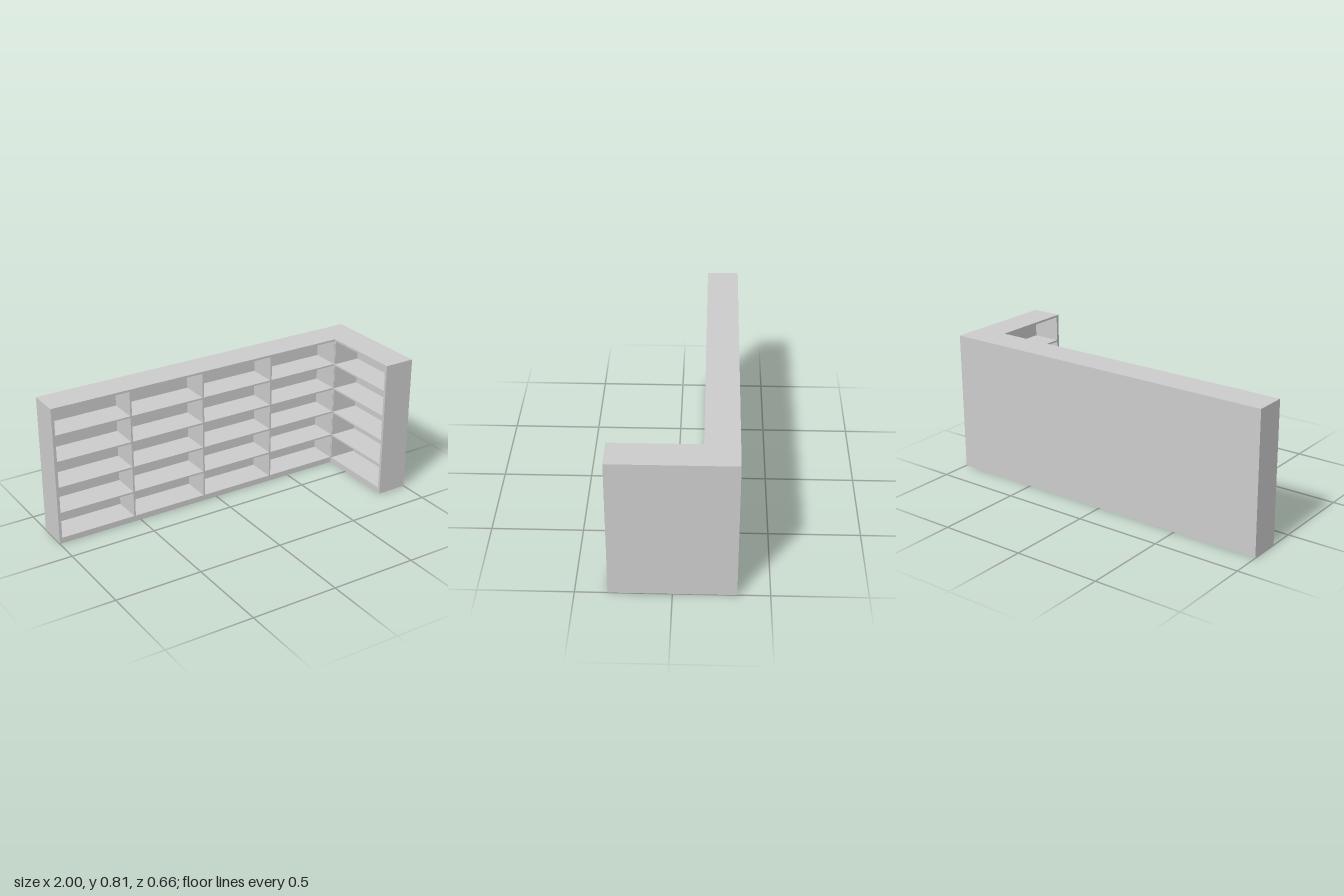
import * as THREE from 'three';

const HEIGHT = 0.805, DEPTH = 0.18, BACK = 0.014, BOARD = 0.01;
const ROWS = 5, BASE = 0.034, TOP = 0.793;

const material = new THREE.MeshStandardMaterial({ color: 0xcccccc, flatShading: true });

function rect(path, x0, y0, x1, y1) {
  path.moveTo(x0, y0);
  path.lineTo(x1, y0);
  path.lineTo(x1, y1);
  path.lineTo(x0, y1);
  path.closePath();
  return path;
}

// One shelving run from x0 to x1, with its back at z = 0 and its open side facing +z.
function shelving(name, x0, x1, openStart, openEnd, columns) {
  const run = new THREE.Group();
  run.name = name;

  // Frame, dividers, shelves and plinth: a slab pierced by a grid of openings
  const shape = rect(new THREE.Shape(), x0, 0, x1, HEIGHT);
  const w = (openEnd - openStart - BOARD * (columns - 1)) / columns;
  const h = (TOP - BASE - BOARD * (ROWS - 1)) / ROWS;
  for (let c = 0; c < columns; c++) {
    for (let r = 0; r < ROWS; r++) {
      const x = openStart + c * (w + BOARD), y = BASE + r * (h + BOARD);
      shape.holes.push(rect(new THREE.Path(), x, y, x + w, y + h));
    }
  }
  const frame = new THREE.Mesh(
    new THREE.ExtrudeGeometry(shape, { depth: DEPTH - BACK, bevelEnabled: false }), material);
  frame.name = name + 'Frame';
  frame.position.z = BACK;

  // Closed back panel
  const back = new THREE.Mesh(new THREE.BoxGeometry(x1 - x0, HEIGHT, BACK), material);
  back.name = name + 'BackPanel';
  back.position.set((x0 + x1) / 2, HEIGHT / 2, BACK / 2);

  run.add(frame, back);
  return run;
}

export function createModel() {
  const model = new THREE.Group();
  model.name = 'cornerShelving';

  // Long run, including the solid corner
  const longRun = shelving('longRun', -1, 1, -0.984, 0.818, 4);
  longRun.position.z = -0.33;

  // Short return, opening towards -x
  const shortRun = shelving('shortRun', -0.15, 0.33, -0.143, 0.314, 1);
  shortRun.rotation.y = -Math.PI / 2;
  shortRun.position.x = 1;

  model.add(longRun, shortRun);
  return model;
}
